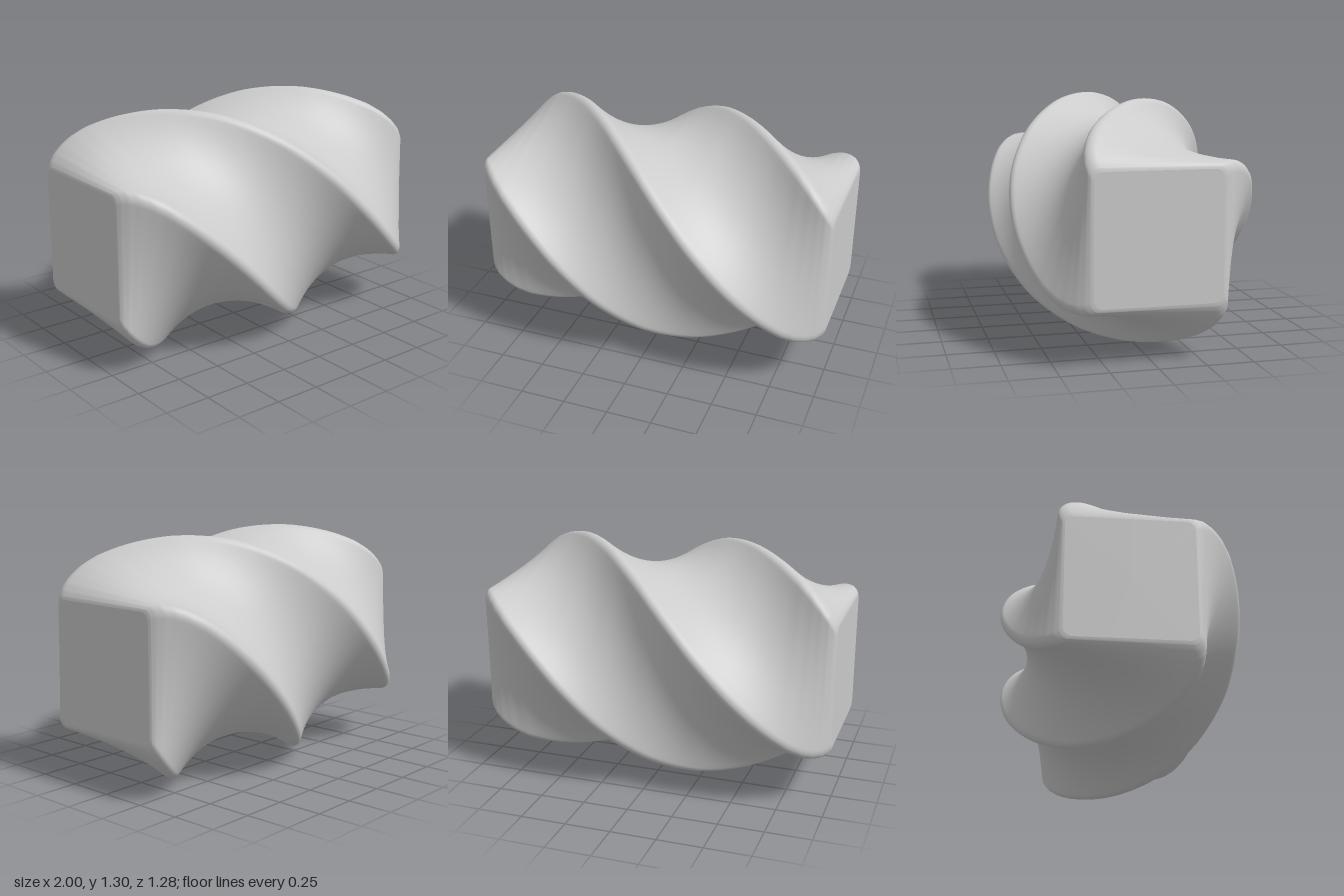
import * as THREE from 'three';

const SIDE = 22;             // segments along each flat side
const CORNER = 10;           // segments around each rounded corner
const TWIST = Math.PI / 2;   // turn per unit of length
const MID_Y = 0.65;

// Half width of the square section against distance from the middle
const WIDTHS = [[0, 0.5], [0.25, 0.495], [0.5, 0.48], [0.7, 0.463], [0.8, 0.452],
  [0.87, 0.436], [0.92, 0.417], [0.96, 0.394], [0.985, 0.37], [0.997, 0.35], [1, 0.335]];

function halfWidth(d) {
  let i = 1;
  while (i < WIDTHS.length - 1 && WIDTHS[i][0] < d) i++;
  const [a, b] = [WIDTHS[i - 1], WIDTHS[i]];
  return THREE.MathUtils.mapLinear(d, a[0], b[0], a[1], b[1]);
}

// Rounded square of half width 1, as [y, z] pairs turning from y to z
function section() {
  const r = 0.145, core = 1 - r, points = [];
  for (let k = 0; k < 4; k++) {
    const turn = k * Math.PI / 2, c = Math.cos(turn), s = Math.sin(turn);
    const add = (y, z) => points.push([y * c - z * s, y * s + z * c]);
    for (let i = 0; i < SIDE; i++) add(1, core * (2 * i / SIDE - 1));
    for (let i = 0; i < CORNER; i++) {
      const a = i / CORNER * Math.PI / 2;
      add(core + r * Math.cos(a), core + r * Math.sin(a));
    }
  }
  return points;
}

function ring(x, outline) {
  const w = halfWidth(Math.abs(x));
  const c = Math.cos(x * TWIST), s = Math.sin(x * TWIST);
  return outline.flatMap(([y, z]) => [x, MID_Y + w * (y * c - z * s), 0.985 * w * (y * s + z * c)]);
}

function buildGeometry(positions, index) {
  const geometry = new THREE.BufferGeometry();
  geometry.setAttribute('position', new THREE.Float32BufferAttribute(positions, 3));
  geometry.setIndex(index);
  geometry.computeVertexNormals();
  return geometry;
}

export function createModel() {
  const group = new THREE.Group();
  group.name = 'twistedBlock';
  const material = new THREE.MeshStandardMaterial({ color: 0xcccccc });
  const outline = section(), n = outline.length;

  // Stations along the length, packed closer near the rounded ends
  const stations = [];
  for (let i = 0; i <= 120; i++) stations.push(Math.sin((i / 60 - 1) * Math.PI / 2));

  // Twisted sides
  const positions = stations.flatMap((x) => ring(x, outline)), index = [];
  for (let i = 0; i < stations.length - 1; i++) {
    for (let j = 0; j < n; j++) {
      const a = i * n + j, b = i * n + (j + 1) % n;
      index.push(a, b, a + n, b, b + n, a + n);
    }
  }
  const body = new THREE.Mesh(buildGeometry(positions, index), material);
  body.name = 'twistedSides';
  group.add(body);

  // Flat square ends
  for (const end of [-1, 1]) {
    const fan = [];
    for (let j = 0; j < n; j++) {
      const k = (j + 1) % n;
      fan.push(n, ...(end > 0 ? [j, k] : [k, j]));
    }
    const cap = new THREE.Mesh(buildGeometry([...ring(end, outline), end, MID_Y, 0], fan), material);
    cap.name = end > 0 ? 'leftEnd' : 'rightEnd';
    group.add(cap);
  }
  return group;
}
